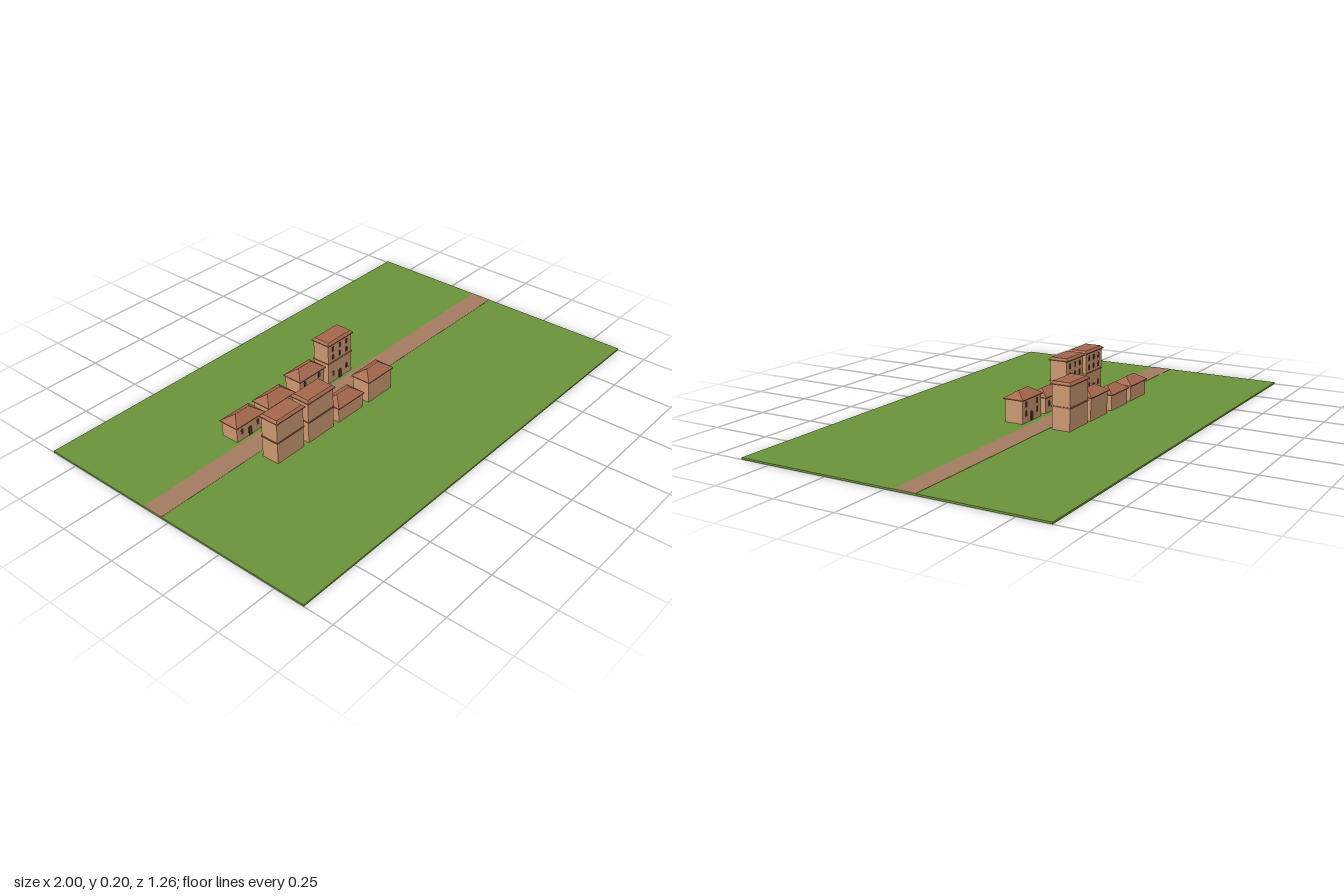
import * as THREE from 'three';

const mat = (name, color) => {
  const m = new THREE.MeshStandardMaterial({ color });
  m.name = name;
  return m;
};

export function createModel() {
  const grass = mat('grass green', 0x6a933a);
  const dirt = mat('road brown', 0xa37a60);
  const plaster = mat('tan plaster', 0xcb9870);
  const clay = mat('clay roof', 0xa5674c);
  const wood = mat('dark wood', 0x54302a);

  const town = new THREE.Group();
  town.name = 'village';

  function add(parent, name, geometry, material, x, y, z) {
    const mesh = new THREE.Mesh(geometry, material);
    mesh.name = name;
    mesh.position.set(x, y, z);
    parent.add(mesh);
    return mesh;
  }
  // Box standing on y
  const box = (parent, name, material, w, h, d, x, y, z) =>
    add(parent, name, new THREE.BoxGeometry(w, h, d), material, x, y + h / 2, z);

  // Block whose top is narrowed to topW by topD
  function taper(w, h, d, topW, topD) {
    const g = new THREE.BoxGeometry(w, h, d);
    const p = g.attributes.position;
    for (let i = 0; i < p.count; i++) {
      if (p.getY(i) > 0) p.setXYZ(i, Math.sign(p.getX(i)) * topW / 2, h / 2, Math.sign(p.getZ(i)) * topD / 2);
    }
    g.computeVertexNormals();
    return g;
  }

  // Small arched plate for windows and doors
  function archPlate(w, h) {
    const s = new THREE.Shape();
    s.moveTo(-w / 2, 0);
    s.lineTo(w / 2, 0);
    s.lineTo(w / 2, h - w / 2);
    s.absarc(0, h - w / 2, w / 2, 0, Math.PI, false);
    s.lineTo(-w / 2, 0);
    return new THREE.ExtrudeGeometry(s, { depth: 0.002, bevelEnabled: false, curveSegments: 6 });
  }
  const windowGeo = archPlate(0.011, 0.023);
  const doorGeo = archPlate(0.018, 0.04);

  const W = 0.142, D = 0.077, ROOF_W = 0.153, ROOF_D = 0.09, GROUND = 0.007;

  // House with its windowed face towards local +z
  function house(x, z, turned, kind) {
    const g = new THREE.Group();
    g.name = kind + 'House';
    const wallTop = { low: 0.07, mid: 0.099, tall: 0.184 }[kind];
    box(g, 'walls', plaster, W, wallTop - GROUND, D, 0, GROUND, 0);
    box(g, 'eaves', clay, ROOF_W, 0.004, ROOF_D, 0, wallTop, 0);
    if (kind === 'tall') {
      add(g, 'flatRoof', taper(ROOF_W, 0.009, ROOF_D, 0.136, 0.071), clay, 0, wallTop + 0.0085, 0);
      box(g, 'floorBand', clay, W + 0.006, 0.005, D + 0.006, 0, 0.096, 0);
    } else {
      add(g, 'hipRoof', taper(ROOF_W, 0.028, ROOF_D, 0.072, 0.001), clay, 0, wallTop + 0.018, 0);
    }
    // Openings on the road side
    const face = D / 2;
    add(g, 'door', doorGeo, wood, 0, GROUND, face);
    for (const wx of [-0.042, 0, 0.042]) {
      if (wx) add(g, 'window', windowGeo, wood, wx, 0.033, face);
      if (kind === 'mid' && wx) add(g, 'upperWindow', windowGeo, wood, wx, 0.069, face);
      if (kind === 'tall') {
        add(g, 'middleWindow', windowGeo, wood, wx, 0.112, face);
        add(g, 'upperWindow', windowGeo, wood, wx, 0.15, face);
      }
    }
    g.position.set(x, 0, z);
    if (turned) g.rotation.y = Math.PI;
    town.add(g);
  }

  // Ground and road
  box(town, 'ground', grass, 2, 0.007, 1.256, 0, 0, 0);
  box(town, 'road', dirt, 2, 0.001, 0.091, 0, 0.007, -0.08);

  // Rows of houses on either side of the road
  [[-0.452, 'low'], [-0.278, 'low'], [-0.098, 'mid'], [0.072, 'tall']]
    .forEach(([x, kind]) => house(x, -0.178, false, kind));
  [[-0.449, 'tall'], [-0.28, 'tall'], [-0.107, 'low'], [0.073, 'mid']]
    .forEach(([x, kind]) => house(x, 0.03, true, kind));

  // Small leaning boards in the alleys
  for (const [x, z] of [[-0.18, -0.158], [-0.01, 0.012]]) {
    const board = box(town, 'leaningBoard', wood, 0.004, 0.034, 0.01, x, GROUND, z);
    board.rotation.z = -0.25;
  }

  return town;
}
